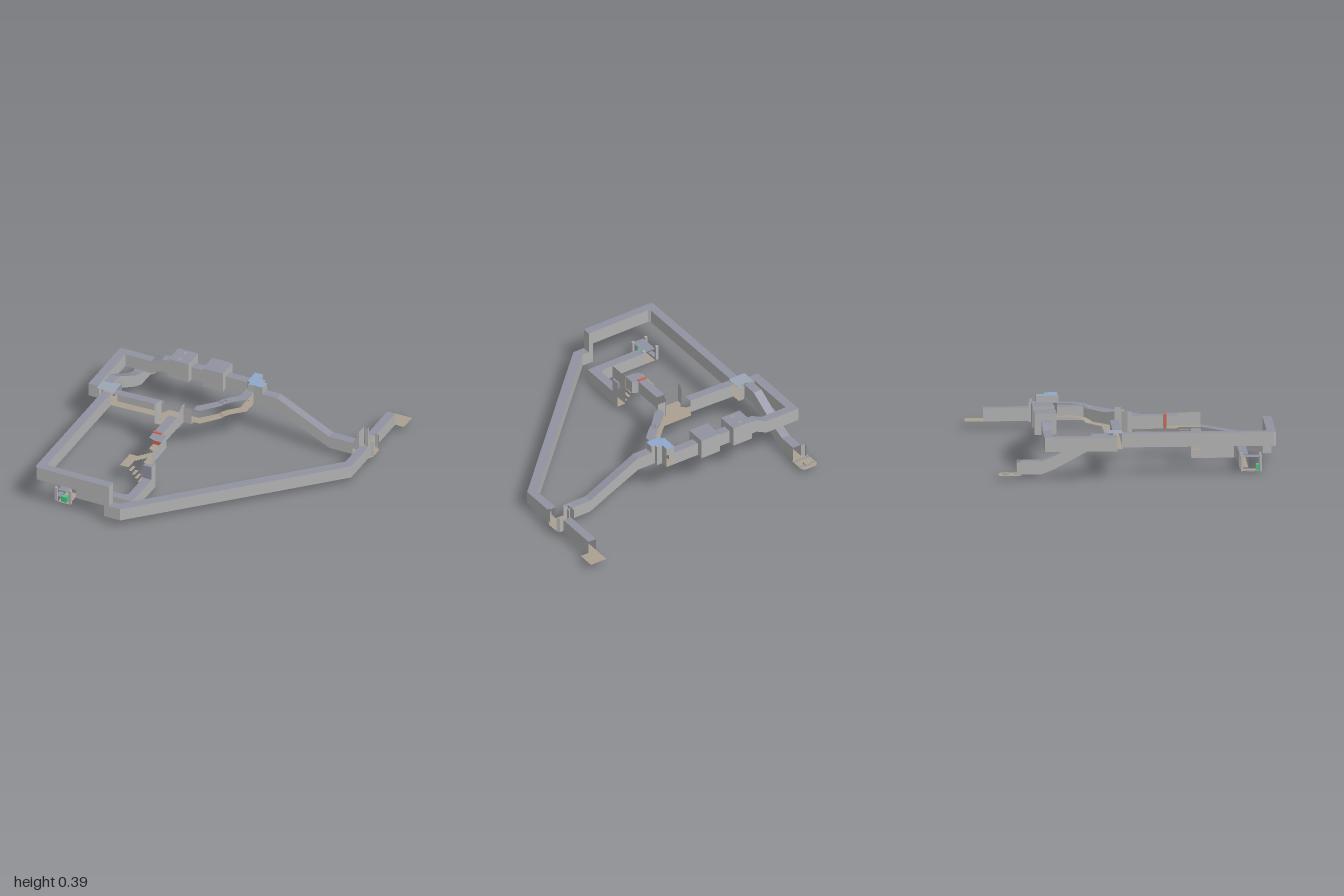
import * as THREE from 'three';

const material = (name, color) => {
  const m = new THREE.MeshStandardMaterial({ color, side: THREE.DoubleSide });
  m.name = name;
  return m;
};

export function createModel() {
  const model = new THREE.Group();
  model.name = 'corridorComplex';
  const wallMat = material('wallGrey', 0xb2b2b2);
  const roofMat = material('roofSlate', 0x9092a0);
  const floorMat = material('floorTan', 0xaaa090);
  const blueMat = material('roofBlue', 0x90a8cc);
  const redMat = material('doorRed', 0xcc6652);
  const greenMat = material('boxGreen', 0x4cc080);
  const paleMat = material('landingSlate', 0x9ba5b4);

  // Thin surface made of four-cornered faces
  function surface(parent, name, mat, quads) {
    if (!quads.length) return;
    const pos = [];
    for (const [a, b, c, d] of quads) pos.push(...a, ...b, ...c, ...a, ...c, ...d);
    const g = new THREE.BufferGeometry();
    g.setAttribute('position', new THREE.Float32BufferAttribute(pos, 3));
    g.computeVertexNormals();
    const mesh = new THREE.Mesh(g, mat);
    mesh.name = name;
    parent.add(mesh);
  }

  // Corridor through sections [leftX, leftZ, rightX, rightZ, floorY, roofY]
  function corridor(name, sections, sides = 'LR') {
    const group = new THREE.Group();
    group.name = name;
    const floor = [], roof = [], wall = [];
    for (let i = 0; i + 1 < sections.length; i++) {
      const [s, t] = [sections[i], sections[i + 1]];
      const L = (p, k) => [p[0], p[k], p[1]];
      const R = (p, k) => [p[2], p[k], p[3]];
      floor.push([L(s, 4), R(s, 4), R(t, 4), L(t, 4)]);
      roof.push([L(s, 5), L(t, 5), R(t, 5), R(s, 5)]);
      if (sides.includes('L')) wall.push([L(s, 4), L(t, 4), L(t, 5), L(s, 5)]);
      if (sides.includes('R')) wall.push([R(s, 4), R(s, 5), R(t, 5), R(t, 4)]);
    }
    surface(group, name + 'Floor', floorMat, floor);
    surface(group, name + 'Roof', roofMat, roof);
    surface(group, name + 'Walls', wallMat, wall);
    model.add(group);
  }
  const alongX = (z0, z1, rows) => rows.map(([x, f, c]) => [x, z0, x, z1, f, c]);
  const alongZ = (x0, x1, rows) => rows.map(([z, f, c]) => [x0, z, x1, z, f, c]);

  // Flat plate from an outline of [x, z]
  function plate(name, mat, y, pts) {
    const shape = new THREE.Shape(pts.map(([x, z]) => new THREE.Vector2(x, -z)));
    const mesh = new THREE.Mesh(new THREE.ShapeGeometry(shape).rotateX(-Math.PI / 2), mat);
    mesh.position.y = y;
    mesh.name = name;
    model.add(mesh);
  }
  const rect = (x0, z0, x1, z1) => [[x0, z1], [x1, z1], [x1, z0], [x0, z0]];

  // Upright walls along a path of [x, z]
  function walls(name, y0, y1, pts, mat = wallMat) {
    surface(model, name, mat, pts.slice(1).map(([x, z], i) => {
      const [u, v] = pts[i];
      return [[u, y0, v], [x, y0, z], [x, y1, z], [u, y1, v]];
    }));
  }
  function box(name, mat, x0, y0, z0, x1, y1, z1) {
    const mesh = new THREE.Mesh(new THREE.BoxGeometry(x1 - x0, y1 - y0, z1 - z0), mat);
    mesh.position.set((x0 + x1) / 2, (y0 + y1) / 2, (z0 + z1) / 2);
    mesh.name = name;
    model.add(mesh);
  }

  // West and front upper corridor, turning into the drop shaft
  corridor('westCorridor', [
    [-0.86, -0.04, -0.80, -0.04, 0.2, 0.295], [-0.86, 0.98, -0.80, 0.92, 0.2, 0.295],
    [-0.845, 0.995, -0.785, 0.935, 0.2, 0.295], [-0.34, 0.995, -0.34, 0.935, 0.2, 0.295]]);
  corridor('dropShaft', alongX(0.995, 0.935, [[-0.34, 0.05, 0.295], [-0.305, 0.05, 0.295]]));
  walls('shaftBack', 0.05, 0.2, [[-0.34, 0.935], [-0.34, 0.995]]);
  walls('shaftFace', 0.14, 0.295, [[-0.305, 0.935], [-0.305, 0.995]]);

  // Long low diagonal to the east side
  corridor('diagonalCorridor', [
    [-0.305, 0.995, -0.305, 0.935, 0.05, 0.14], [-0.22, 0.995, -0.255, 0.935, 0.05, 0.14],
    [0.94, -0.165, 0.88, -0.2, 0.05, 0.14], [0.94, -0.42, 0.88, -0.42, 0.05, 0.14]]);

  // East junction with wall stubs, and the passage behind it
  plate('eastJunctionFloor', floorMat, 0.05, [[0.82, -0.42], [0.94, -0.42], [0.96, -0.46],
    [0.96, -0.55], [0.94, -0.57], [0.82, -0.57], [0.82, -0.53], [0.85, -0.51], [0.85, -0.49], [0.82, -0.49]]);
  walls('eastJunctionSide', 0.05, 0.16, [[0.94, -0.42], [0.94, -0.46], [0.96, -0.47]]);
  walls('eastJunctionStubA', 0.05, 0.19, [[0.815, -0.5], [0.835, -0.5], [0.835, -0.57]]);
  walls('eastJunctionStubB', 0.05, 0.2, [[0.85, -0.55], [0.875, -0.55], [0.875, -0.57]]);
  walls('eastJunctionStubC', 0.05, 0.16, [[0.92, -0.57], [0.945, -0.57], [0.96, -0.55]]);
  corridor('northEastPassage', alongZ(0.86, 0.92, [[-0.57, 0.05, 0.14], [-0.875, 0.05, 0.14]]));
  plate('northEastFloor', floorMat, 0.05, rect(0.86, -1, 0.985, -0.875));

  // Ramp corridor up to the blue room
  corridor('eastRamp', alongX(-0.425, -0.487, [[0.82, 0.05, 0.14], [0.645, 0.05, 0.14],
    [0.46, 0.142, 0.232], [0.255, 0.24, 0.335], [0.148, 0.24, 0.335]]));
  const blueOutline = [[0.02, -0.57], [0.08, -0.57], [0.08, -0.515], [0.12, -0.515], [0.12, -0.487],
    [0.148, -0.487], [0.148, -0.425], [0.08, -0.425], [0.04, -0.42], [0.04, -0.445], [0.02, -0.455]];
  plate('blueRoomRoof', blueMat, 0.388, blueOutline);
  plate('blueRoomFloor', floorMat, 0.24, blueOutline);
  walls('blueRoomWalls', 0.335, 0.388, [...blueOutline, blueOutline[0]]);
  walls('blueRoomSideA', 0.24, 0.335, blueOutline.slice(1, 6));
  walls('blueRoomSideB', 0.24, 0.335, blueOutline.slice(6, 8));

  // Back corridor with two raised chambers
  corridor('backCorridor', alongX(-0.51, -0.57, [[0.02, 0.24, 0.335], [-0.65, 0.24, 0.335],
    [-0.73, 0.2, 0.295], [-0.925, 0.2, 0.295]]));
  for (const [i, x] of [-0.505, -0.247].entries()) {
    const r = [[x - 0.075, -0.468], [x + 0.075, -0.468], [x + 0.075, -0.615], [x - 0.075, -0.615]];
    plate('chamberRoof' + i, roofMat, 0.383 - i * 0.002, r);
    plate('chamberFloor' + i, floorMat, 0.238, r);
    walls('chamberWalls' + i, 0.238, 0.382, [...r, r[0]]);
  }
  for (const z of [-0.58, -0.5]) plate('roofVent', floorMat, 0.385, rect(-0.517, z - 0.01, -0.497, z + 0.01));
  corridor('northWestCorridor', [[-0.925, -0.51, -0.925, -0.57, 0.2, 0.295],
    [-0.925, -0.51, -0.99, -0.57, 0.2, 0.295], [-0.925, -0.14, -0.99, -0.08, 0.2, 0.295],
    [-0.91, -0.14, -0.91, -0.08, 0.2, 0.295]]);

  // West landing, and the ramp down to the small back room
  const landing = [[-0.91, -0.14], [-0.91, -0.04], [-0.78, -0.04], [-0.78, -0.165], [-0.82, -0.165], [-0.84, -0.14]];
  plate('landingRoof', paleMat, 0.305, landing);
  plate('landingFloor', floorMat, 0.2, landing);
  walls('landingWall', 0.2, 0.31, [[-0.82, -0.14], [-0.82, -0.165], [-0.78, -0.165]]);
  corridor('northRamp', alongZ(-0.905, -0.842, [[-0.14, 0.2, 0.295], [-0.25, 0.2, 0.295],
    [-0.5, 0.065, 0.155], [-0.59, 0.03, 0.12], [-0.725, 0.03, 0.12]]));
  plate('northRoomFloor', floorMat, 0.03, [[-0.925, -0.725], [-0.84, -0.725], [-0.82, -0.75], [-0.82, -0.85],
    [-0.835, -0.875], [-0.93, -0.875], [-0.95, -0.85], [-0.95, -0.74]]);
  walls('northRoomWallA', 0.03, 0.12, [[-0.905, -0.725], [-0.93, -0.735], [-0.93, -0.755]]);
  walls('northRoomWallB', 0.03, 0.12, [[-0.842, -0.725], [-0.825, -0.75]]);
  for (const z of [-0.835, -0.765]) plate('northRoomStrip', roofMat, 0.035, rect(-0.945, z - 0.008, -0.825, z + 0.008));
  box('northRoomStep', floorMat, -0.905, 0.025, -0.845, -0.865, 0.04, -0.81);

  // Middle hall, its link to the landing and the open diagonal gallery
  corridor('hallLink', alongX(-0.04, -0.1, [[-0.78, 0.2, 0.295], [-0.43, 0.21, 0.305]]), 'R');
  plate('hallFloor', floorMat, 0.215, [[-0.41, -0.14], [-0.43, -0.1], [-0.43, -0.04], [-0.405, -0.02],
    [-0.43, 0.02], [-0.43, 0.05], [-0.26, 0.05], [-0.26, -0.05], [-0.2, -0.05], [-0.2, -0.14]]);
  surface(model, 'hallSteppedWall', wallMat, [0, 1, 2, 3, 4].map((i) => {
    const z = 0.05 - i * 0.022, y = 0.32 + Math.min(i, 3) * 0.013;
    return [[-0.26, 0.215, z], [-0.26, 0.215, z - 0.022], [-0.26, y, z - 0.022], [-0.26, y, z]];
  }));
  walls('hallCornerWall', 0.215, 0.335, [[-0.26, -0.05], [-0.2, -0.05]]);
  walls('hallWestWall', 0.215, 0.36, [[-0.41, -0.02], [-0.43, 0.02], [-0.43, 0.05]]);
  corridor('gallery', [
    [-0.2, -0.08, -0.2, -0.14, 0.215, 0.315], [-0.155, -0.08, -0.19, -0.14, 0.215, 0.315],
    [-0.045, -0.2, -0.09, -0.24, 0.22, 0.32], [-0.035, -0.21, -0.08, -0.25, 0.23, 0.327],
    [0, -0.24, -0.045, -0.28, 0.24, 0.335], [0.08, -0.32, 0.02, -0.345, 0.24, 0.335],
    [0.08, -0.42, 0.02, -0.445, 0.24, 0.335]], '');
  for (const i of [0, 1, 2]) box('galleryStep', roofMat, -0.085 + i * 0.015, 0.323 + i * 0.004,
    -0.24 - i * 0.012, -0.063 + i * 0.015, 0.329 + i * 0.004, -0.225 - i * 0.012);

  // Corridor to the stairs, closed by a red door
  corridor('stairCorridor', [[-0.26, 0.05, -0.322, 0.05, 0.22, 0.31], [-0.26, 0.27, -0.322, 0.27, 0.22, 0.31],
    [-0.22, 0.29, -0.322, 0.29, 0.22, 0.31], [-0.22, 0.35, -0.322, 0.35, 0.22, 0.31],
    [-0.22, 0.37, -0.28, 0.37, 0.22, 0.31]], 'L');
  walls('stairCorridorWest', 0.22, 0.31, [[-0.322, 0.05], [-0.322, 0.26]]);
  box('redDoor', redMat, -0.325, 0.22, 0.27, -0.263, 0.317, 0.288);

  // Stairs folding around a half landing
  plate('topLanding', floorMat, 0.22, rect(-0.28, 0.37, -0.218, 0.522));
  walls('topLandingWall', 0.22, 0.31, [[-0.218, 0.37], [-0.218, 0.522]]);
  plate('halfLanding', floorMat, 0.15, rect(-0.455, 0.372, -0.39, 0.522));
  for (let i = 0; i < 5; i++) {
    const x = -0.28 - i * 0.022, u = -0.39 + i * 0.022;
    plate('upperStep', floorMat, 0.208 - i * 0.012, rect(x - 0.022, 0.375, x, 0.44));
    plate('lowerStep', floorMat, 0.125 - i * 0.024, rect(u, 0.46, u + 0.022, 0.522));
  }

  // Lowest corridor to the front room
  corridor('lowerCorridor', [[-0.218, 0.46, -0.28, 0.46, 0.008, 0.2], [-0.218, 0.523, -0.28, 0.523, 0.008, 0.2],
    [-0.218, 0.523, -0.28, 0.523, 0.008, 0.1], [-0.218, 0.82, -0.28, 0.745, 0.008, 0.1],
    [-0.285, 0.822, -0.3, 0.762, 0.008, 0.1], [-0.635, 0.822, -0.635, 0.762, 0.008, 0.1]]);
  const front = [[-0.73, 0.765], [-0.73, 0.91], [-0.645, 0.91], [-0.645, 0.765]];
  plate('frontRoomFloor', floorMat, 0.005, front);
  plate('frontRoomRoof', roofMat, 0.1, front);
  for (const x of [-0.745, -0.64]) for (const z of [0.772, 0.9])
    box('frontRoomPost', wallMat, x - 0.009, 0.005, z - 0.008, x + 0.009, 0.112, z + 0.008);
  box('frontRoomLedge', roofMat, -0.77, 0.005, 0.8, -0.735, 0.012, 0.86);
  box('greenCabinet', greenMat, -0.71, 0, 0.87, -0.67, 0.045, 0.9);

  return model;
}
